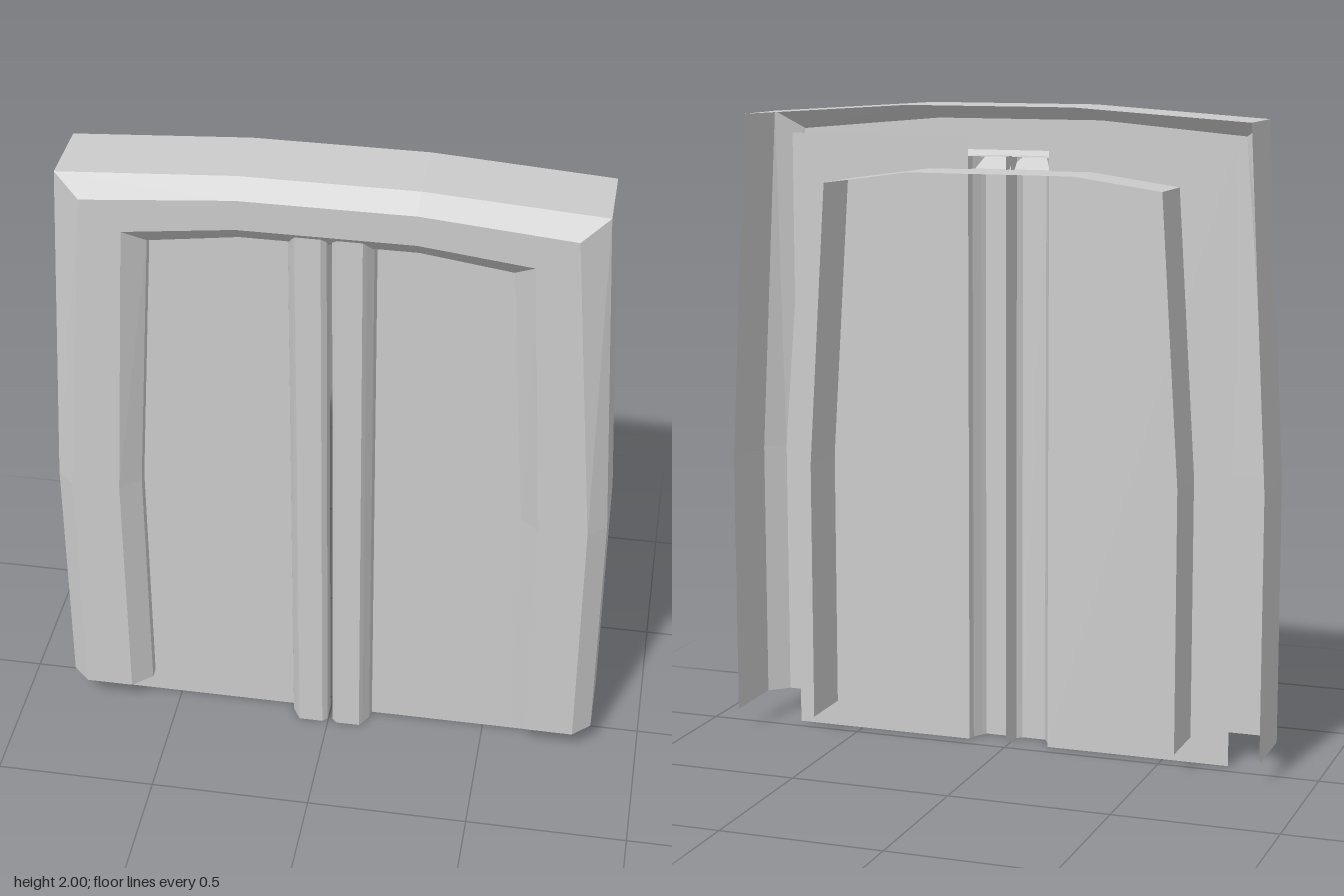
import * as THREE from 'three';

const material = new THREE.MeshStandardMaterial({ color: 0xcccccc, flatShading: true, side: THREE.DoubleSide });

// Skin a sheet across rows of [x, y, z] points, one flat quad per cell
function sheet(name, rows) {
  const p = [];
  for (let i = 0; i < rows.length - 1; i++) {
    for (let j = 0; j < rows[i].length - 1; j++) {
      const a = rows[i][j], b = rows[i][j + 1], c = rows[i + 1][j + 1], d = rows[i + 1][j];
      p.push(...a, ...d, ...c, ...a, ...c, ...b);
    }
  }
  const g = new THREE.BufferGeometry();
  g.setAttribute('position', new THREE.Float32BufferAttribute(p, 3));
  g.computeVertexNormals();
  const mesh = new THREE.Mesh(g, material);
  mesh.name = name;
  return mesh;
}

// Arch outline at depth z, mirrored from its right half
function arch(half, z) {
  const left = half.map(([x, y]) => [-x, y, z]);
  const right = half.map(([x, y]) => [x, y, z]).reverse();
  return [...left, ...right];
}

// Hollow surround: outer wall, bevel, front face, inner bevel, inner wall
function createFrame() {
  const outer = [[0.85, 0.08], [0.85, 0.89], [0.793, 1.965], [0.26, 2.0]];
  const frontOuter = [[0.795, 0.08], [0.795, 0.89], [0.713, 1.91], [0.26, 1.95]];
  const frontInner = [[0.647, 0.08], [0.647, 0.89], [0.594, 1.815], [0.26, 1.855]];
  const inner = [[0.588, 0.08], [0.588, 0.89], [0.532, 1.762], [0.26, 1.8]];
  const back = -0.1375, bevel = 0.085, front = 0.1375;
  return sheet('frame', [
    arch(outer, back), arch(outer, bevel), arch(frontOuter, front),
    arch(frontInner, front), arch(inner, bevel), arch(inner, back),
  ]);
}

// One sliding door: a flat sheet with a folded ridge at its meeting edge
function createDoor(side) {
  const door = new THREE.Group();
  door.name = side > 0 ? 'leftDoor' : 'rightDoor';
  const panel = [[0.7125, 0.05], [0.13, 0.05]];
  const ridge = [[0.13, 0.05], [0.125, 0.075], [0.108, 0.105], [0.098, 0.12], [0.023, 0.12], [0.008, 0.105], [0.008, 0.05]];
  const ridgeTop = 1.84;
  const row = (profile, y) => {
    const pts = profile.map(([x, z]) => [side * x, y, z]);
    return side > 0 ? pts : pts.reverse();
  };
  door.add(sheet('doorPanel', [row(panel, 0), row(panel, 1.9)]));
  door.add(sheet('doorRidge', [row(ridge, 0), row(ridge, ridgeTop)]));
  // Lid on top of the ridge
  const lid = new THREE.Mesh(
    new THREE.ShapeGeometry(new THREE.Shape(ridge.map(([x, z]) => new THREE.Vector2(side * x, -z)))),
    material
  );
  lid.name = 'ridgeLid';
  lid.rotation.x = -Math.PI / 2;
  lid.position.y = ridgeTop;
  door.add(lid);
  door.position.x = 0.005;
  return door;
}

export function createModel() {
  const model = new THREE.Group();
  model.name = 'doorway';
  model.add(createFrame());
  for (const side of [-1, 1]) model.add(createDoor(side));
  return model;
}
